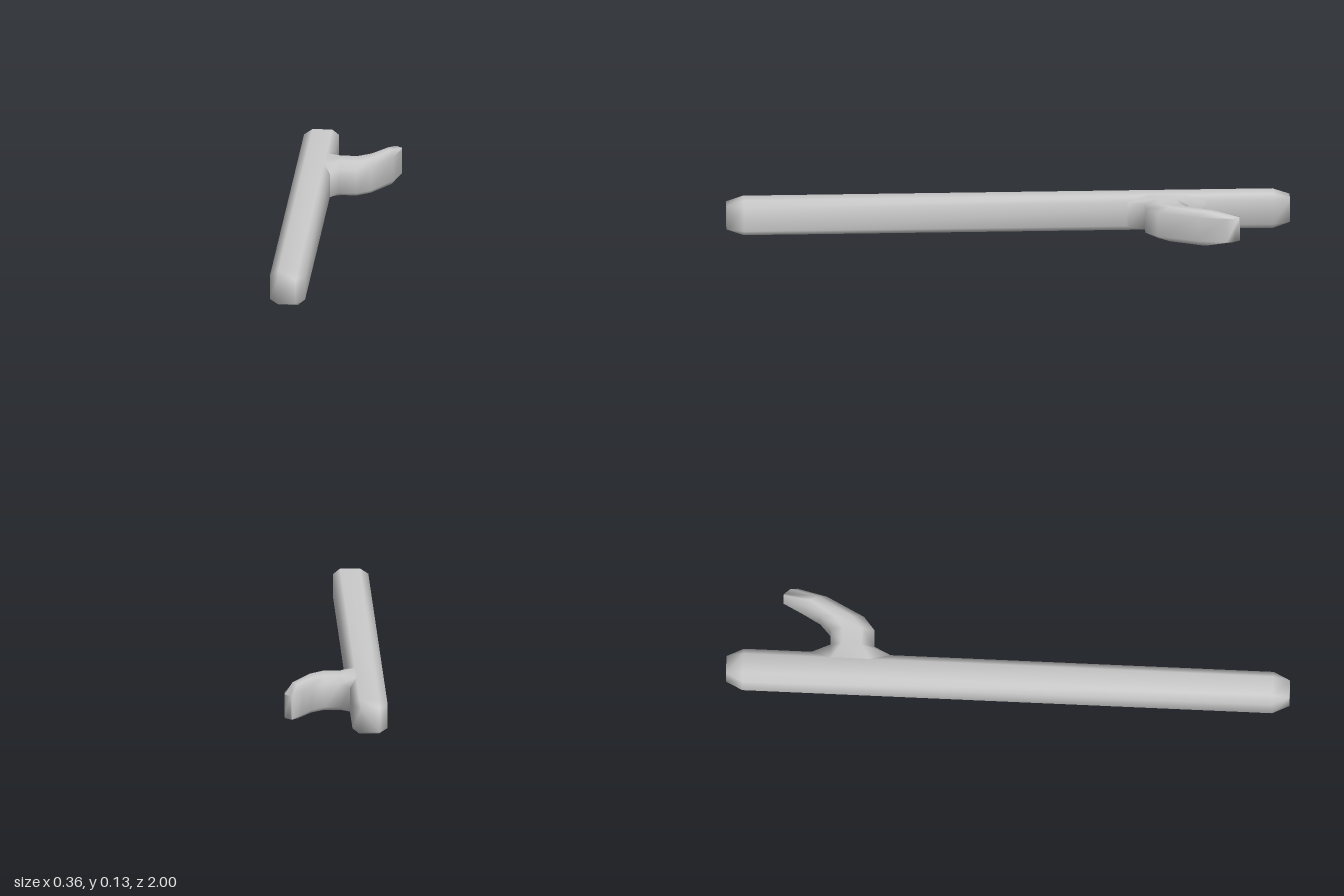
import * as THREE from 'three';
import { mergeVertices } from 'three/addons/utils/BufferGeometryUtils.js';

const TOP = 0.126, BEVEL = 0.02;

// Eight-sided ring: sides a and b, with flat top and bottom running from ta to tb.
// inset 1 drops the flats to the bevel height, which closes an end.
function ring([a, b, ta, tb, inset = 0]) {
  const lo = BEVEL, hi = TOP - BEVEL, d = inset * BEVEL;
  return [
    [tb, TOP - d], [ta, TOP - d], [a, hi], [a, lo],
    [ta, d], [tb, d], [b, lo], [b, hi],
  ].map(([[x, z], y]) => [x, y, z]);
}

// Smooth skin through a row of rings, with optional end caps
function loft(name, sections, capStart, capEnd, material) {
  const n = 8, index = [];
  const points = sections.flatMap(ring);
  for (let i = 0; i < sections.length - 1; i++) {
    for (let j = 0; j < n; j++) {
      const a = i * n + j, b = i * n + (j + 1) % n;
      index.push(a, b, a + n, b, b + n, a + n);
    }
  }
  const last = (sections.length - 1) * n;
  for (let j = 1; j < n - 1; j++) {
    if (capStart) index.push(0, j + 1, j);
    if (capEnd) index.push(last, last + j, last + j + 1);
  }
  let geometry = new THREE.BufferGeometry();
  geometry.setAttribute('position', new THREE.Float32BufferAttribute(points.flat(), 3));
  geometry.setIndex(index);
  geometry = mergeVertices(geometry, 1e-4);
  geometry.computeVertexNormals();
  const mesh = new THREE.Mesh(geometry, material);
  mesh.name = name;
  return mesh;
}

export function createModel() {
  const group = new THREE.Group();
  group.name = 'hookedPole';
  const material = new THREE.MeshStandardMaterial({ color: 0xcccccc });

  // Long straight pole with chamfered ends
  const full = z => [[-0.18, z], [-0.055, z], [-0.15, z], [-0.08, z]];
  const end = z => [[-0.15, z], [-0.085, z], [-0.15, z], [-0.085, z], 1];
  group.add(loft('shaft', [end(-1), full(-0.94), full(0.94), end(1)], true, true, material));

  // Side hook: flared root, short neck, then a curve back to a narrow tip
  group.add(loft('hook', [
    [[-0.055, -0.42], [-0.055, -0.70], [-0.08, -0.49], [-0.08, -0.63]],
    [[-0.025, -0.48], [-0.025, -0.635], [-0.025, -0.525], [-0.025, -0.595]],
    [[0.035, -0.48], [0.035, -0.635], [0.035, -0.525], [0.035, -0.595]],
    [[0.085, -0.52], [0.08, -0.675], [0.082, -0.565], [0.08, -0.63]],
    [[0.155, -0.655], [0.115, -0.737], [0.148, -0.685], [0.133, -0.715]],
    [[0.18, -0.76], [0.153, -0.81], [0.178, -0.785], [0.16, -0.806], 1],
  ], false, true, material));

  return group;
}
